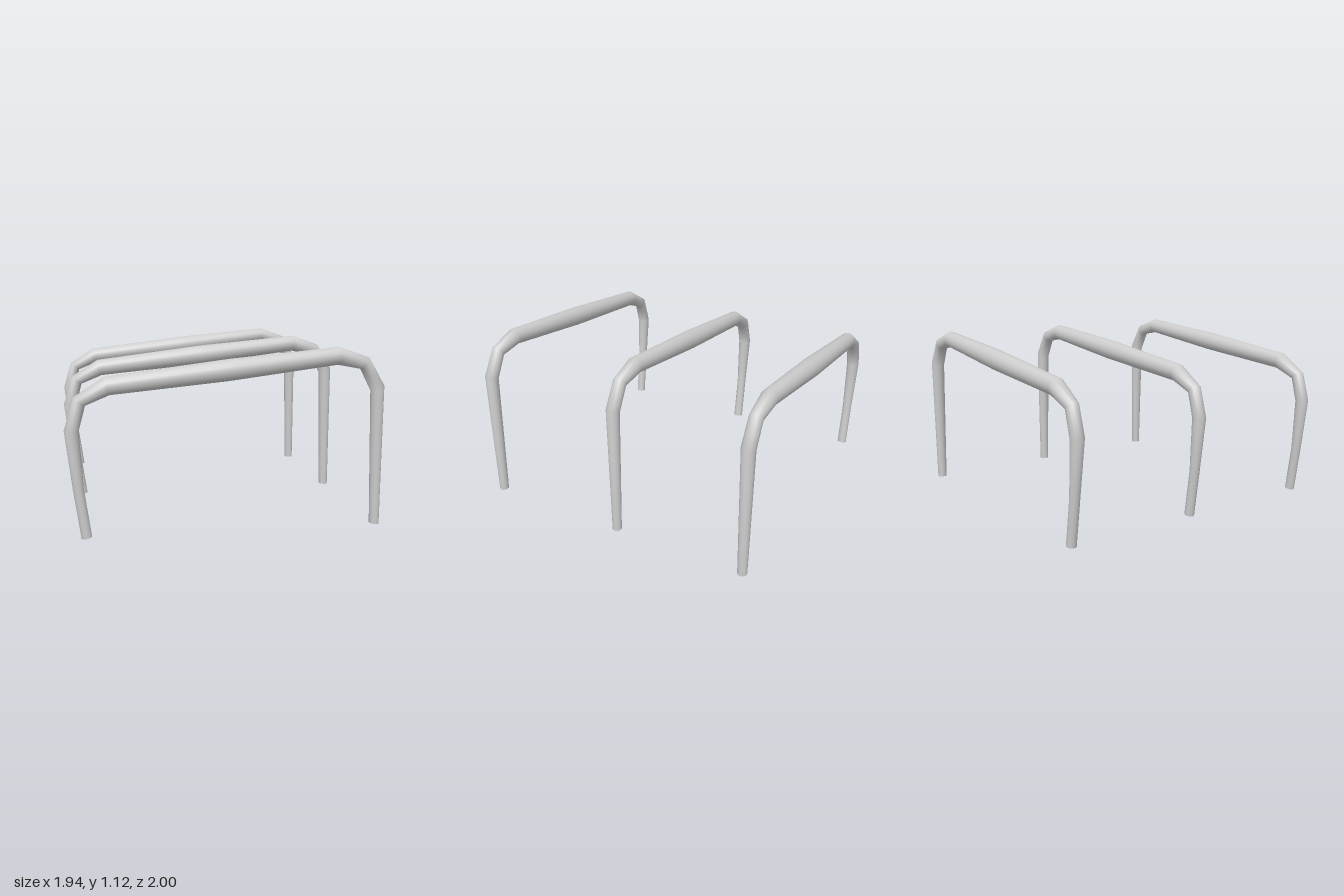
import * as THREE from 'three';

// Hoop cross-sections, foot to foot: outer point (x, y) then inner point (x, y)
const SECTIONS = [
  [-0.887, 0.006, -0.825, 0.018],
  [-0.929, 0.305, -0.866, 0.313],
  [-0.971, 0.658, -0.885, 0.655],
  [-0.913, 0.853, -0.846, 0.801],
  [-0.733, 0.967, -0.705, 0.859],
  [0, 1.057, 0, 0.925],
  [0.674, 1.117, 0.669, 1.009],
  [0.866, 1.05, 0.814, 0.981],
  [0.967, 0.877, 0.885, 0.844],
  [0.969, 0, 0.908, 0.004],
];
const SIDES = 16;

// Skins a tapering tube through round rings spanned by each outer/inner pair
function hoopGeometry() {
  const positions = [];
  const indices = [];
  SECTIONS.forEach(([ox, oy, ix, iy], i) => {
    const cx = (ox + ix) / 2, cy = (oy + iy) / 2;
    const dx = (ox - ix) / 2, dy = (oy - iy) / 2;
    const r = Math.hypot(dx, dy);
    for (let j = 0; j < SIDES; j++) {
      const a = (j / SIDES) * Math.PI * 2;
      // slight skew: the right-hand end sits a touch further forward
      positions.push(cx + dx * Math.cos(a), cy + dy * Math.cos(a), r * Math.sin(a) + cx * 0.004);
      if (i < SECTIONS.length - 1) {
        const k = (j + 1) % SIDES;
        const p = i * SIDES + j, q = i * SIDES + k;
        indices.push(p, q, p + SIDES, q, q + SIDES, p + SIDES);
      }
    }
  });
  const geometry = new THREE.BufferGeometry();
  geometry.setAttribute('position', new THREE.Float32BufferAttribute(positions, 3));
  geometry.setIndex(indices);
  geometry.computeVertexNormals();
  return geometry;
}

export function createModel() {
  const group = new THREE.Group();
  group.name = 'hoopFrame';
  const geometry = hoopGeometry();
  // open tube ends at the feet
  const material = new THREE.MeshStandardMaterial({ color: 0xcccccc, side: THREE.DoubleSide });

  // Three identical hoops in a row
  const hoops = { frontHoop: 0.933, middleHoop: -0.031, backHoop: -0.934 };
  for (const [name, z] of Object.entries(hoops)) {
    const hoop = new THREE.Mesh(geometry, material);
    hoop.name = name;
    hoop.position.z = z;
    group.add(hoop);
  }
  return group;
}
